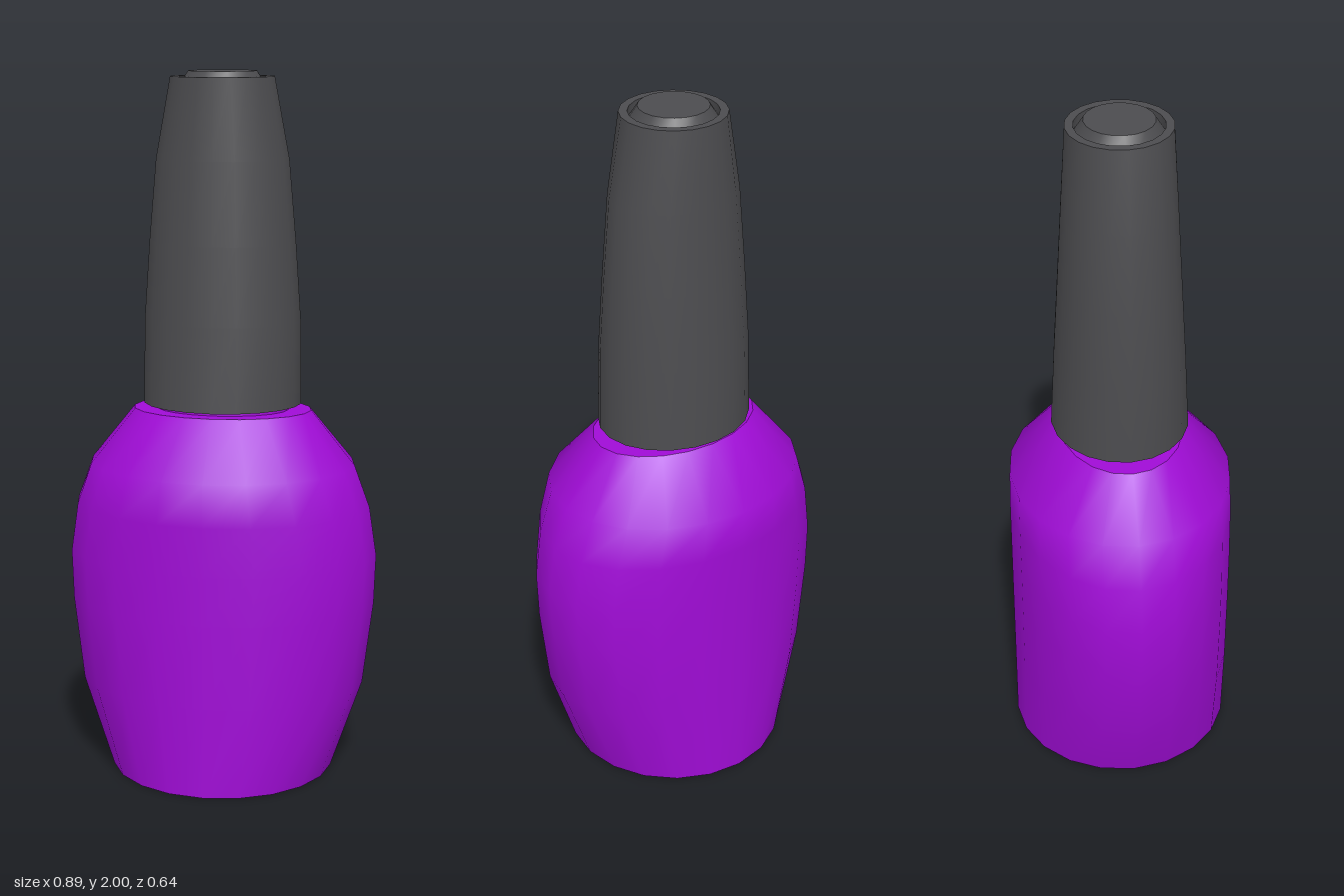
import * as THREE from 'three';
import { toCreasedNormals } from 'three/addons/utils/BufferGeometryUtils.js';

const SIDES = 20;

// Lofts elliptical rings [y, radiusX, radiusZ], listed from the bottom centre outward and up to the top centre.
function loft(rings) {
  const positions = [];
  const indices = [];
  for (const [y, rx, rz] of rings) {
    for (let j = 0; j < SIDES; j++) {
      const a = (j / SIDES) * Math.PI * 2;
      positions.push(rx * Math.sin(a), y, rz * Math.cos(a));
    }
  }
  for (let i = 0; i < rings.length - 1; i++) {
    for (let j = 0; j < SIDES; j++) {
      const k = (j + 1) % SIDES;
      const a = i * SIDES + j, b = i * SIDES + k;
      const c = b + SIDES, d = a + SIDES;
      if (rings[i][1] > 0) indices.push(a, b, c);
      if (rings[i + 1][1] > 0) indices.push(a, c, d);
      if (rings[i][1] === 0) continue;
    }
  }
  const geometry = new THREE.BufferGeometry();
  geometry.setAttribute('position', new THREE.Float32BufferAttribute(positions, 3));
  geometry.setIndex(indices);
  return toCreasedNormals(geometry, 0.8);
}

export function createModel() {
  const group = new THREE.Group();
  group.name = 'nailPolishBottle';

  const purple = new THREE.MeshStandardMaterial({ name: 'purple', color: 0xa00cd6 });
  const charcoal = new THREE.MeshStandardMaterial({ name: 'charcoal', color: 0x4c4c4f });

  const add = (name, rings, material) => {
    const mesh = new THREE.Mesh(loft(rings), material);
    mesh.name = name;
    group.add(mesh);
  };

  // Bottle: recessed round base, swelling to an oval body, sloped shoulders
  add('bottle', [
    [0.055, 0, 0],
    [0.055, 0.257, 0.257],
    [0, 0.257, 0.257],
    [0, 0.32, 0.32],
    [0.26, 0.41, 0.32],
    [0.5, 0.44, 0.32],
    [0.64, 0.445, 0.32],
    [0.78, 0.424, 0.32],
    [0.9, 0.38, 0.318],
    [1.055, 0.255, 0.177],
    [1.055, 0, 0],
  ], purple);

  // Short neck between bottle and cap
  add('neck', [
    [1.05, 0, 0],
    [1.05, 0.19, 0.132],
    [1.08, 0.19, 0.132],
    [1.08, 0, 0],
  ], purple);

  // Tapered cap with a grooved top and raised button
  add('cap', [
    [1.073, 0, 0],
    [1.073, 0.225, 0.195],
    [1.31, 0.223, 0.183],
    [1.53, 0.208, 0.17],
    [1.76, 0.188, 0.157],
    [1.985, 0.146, 0.144],
    [1.985, 0.122, 0.121],
    [1.96, 0.122, 0.121],
    [2, 0.096, 0.095],
    [2, 0, 0],
  ], charcoal);

  return group;
}
